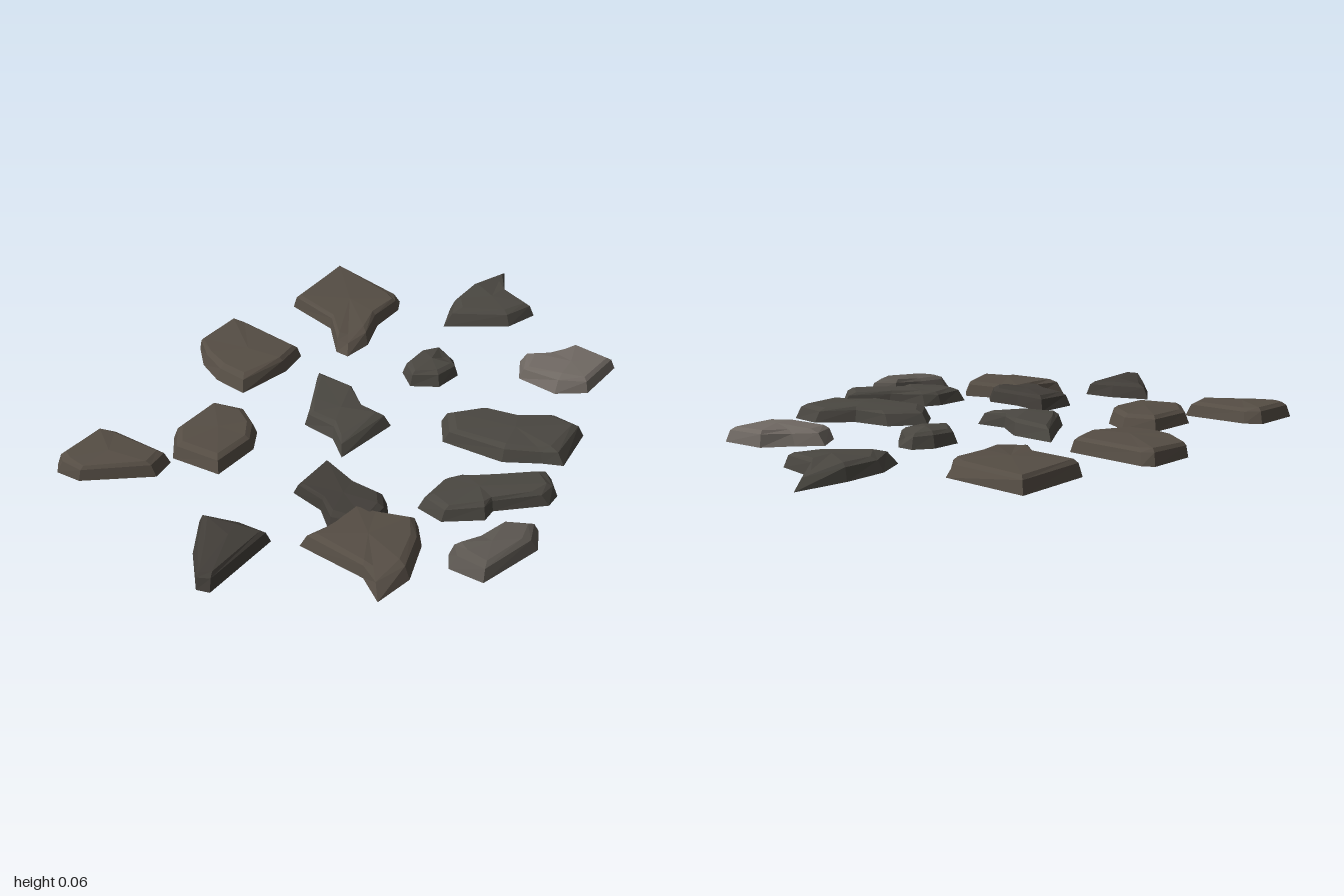
import * as THREE from 'three';

const BROWN = 0x554d44, GREY = 0x4a4741, DARK = 0x413d38, PALE = 0x706963;

// One flat stone, an open-bottomed shell: a ground outline, a steep wall up to a
// shoulder, a bevel to a smaller rim, and a low crown.
// Outline points are [x, z, bevel width, rim height]; the last two are optional.
function stone(name, color, [cx, cz], outline, bevel = 0.035, crown = 0.055) {
  const pts = outline.map(([x, z, b = bevel, h], i) => {
    const inset = (b * (i % 2 ? 1.1 : 0.9)) / Math.hypot(x - cx, z - cz);
    const y = h ?? 0.049 + 0.003 * Math.sin(i * 2.3 + cx * 9);
    const ring = (part, height) => {
      const k = 1 - part * Math.min(inset, 0.75);
      return [cx + (x - cx) * k, height, cz + (z - cz) * k];
    };
    return [ring(0, 0), ring(0.45, y * 0.78), ring(1, y)];
  });
  if (THREE.ShapeUtils.area(outline.map(([x, y]) => ({ x, y }))) > 0) pts.reverse();

  const pos = [];
  pts.forEach((a, i) => {
    const b = pts[(i + 1) % pts.length];
    for (let j = 0; j < 2; j++) { // wall, then bevel
      pos.push(...a[j], ...b[j], ...b[j + 1], ...a[j], ...b[j + 1], ...a[j + 1]);
    }
    pos.push(cx, crown, cz, ...a[2], ...b[2]); // crown
  });
  const geo = new THREE.BufferGeometry();
  geo.setAttribute('position', new THREE.Float32BufferAttribute(pos, 3));
  geo.computeVertexNormals();
  const material = new THREE.MeshStandardMaterial({ color, flatShading: true, side: THREE.DoubleSide });
  const mesh = new THREE.Mesh(geo, material);
  mesh.name = name;
  return mesh;
}

export function createModel() {
  const group = new THREE.Group();
  group.name = 'steppingStones';

  // Back row
  group.add(stone('backPointedStone', GREY, [-0.1, -0.76], [
    [-0.205, -1, 0.13, 0.036], [-0.1, -0.845, 0.012], [0.045, -0.815, 0.04], [0.015, -0.7],
    [-0.17, -0.56, 0.09], [-0.22, -0.67], [-0.225, -0.82, 0.035]]));
  group.add(stone('backLeftStone', BROWN, [-0.5, -0.44], [
    [-0.695, -0.62, 0.03], [-0.395, -0.6, 0.045], [-0.365, -0.55, 0.025], [-0.36, -0.42, 0.022],
    [-0.31, -0.3, 0.06], [-0.32, -0.2, 0.08, 0.036], [-0.37, -0.2, 0.07, 0.04],
    [-0.48, -0.305, 0.02], [-0.68, -0.34, 0.03]], 0.03, 0.053));
  group.add(stone('backRightStone', PALE, [0.35, -0.57], [
    [0.17, -0.535, 0.06], [0.235, -0.6], [0.3, -0.685, 0.02], [0.45, -0.695, 0.03],
    [0.455, -0.51, 0.03], [0.37, -0.44, 0.05], [0.225, -0.445]]));
  group.add(stone('smallStone', GREY, [-0.035, -0.3], [
    [-0.07, -0.4], [-0.015, -0.4, 0.05, 0.035], [0.05, -0.335], [0.04, -0.24],
    [-0.04, -0.185], [-0.11, -0.235], [-0.11, -0.34]], 0.028));

  // Middle rows
  group.add(stone('rightWaistedStone', GREY, [0.41, -0.14], [
    [0.16, -0.085, 0.05], [0.24, -0.19], [0.37, -0.21, 0.012], [0.465, -0.305],
    [0.57, -0.295, 0.045], [0.605, -0.12, 0.05], [0.545, -0.09], [0.44, -0.02, 0.03],
    [0.23, 0.005, 0.05]]));
  group.add(stone('leftStone', BROWN, [-0.57, 0.03], [
    [-0.76, -0.1, 0.025], [-0.725, -0.12], [-0.45, -0.105, 0.03], [-0.43, 0, 0.02],
    [-0.46, 0.185, 0.06], [-0.58, 0.18], [-0.68, 0.14], [-0.76, 0.07, 0.015]]));
  group.add(stone('centreStone', GREY, [-0.1, 0.11], [
    [-0.32, -0.035, 0.06, 0.045], [-0.165, -0.03, 0.025], [-0.06, 0.045, 0.01],
    [0.045, 0.035, 0.045], [0.025, 0.265, 0.08, 0.036], [-0.06, 0.205], [-0.18, 0.2],
    [-0.225, 0.12, 0.02]]));
  group.add(stone('rightBentStone', GREY, [0.49, 0.18], [
    [0.365, 0.2, 0.025], [0.39, 0.145], [0.5, 0.08, 0.015], [0.61, -0.04, 0.045],
    [0.67, 0.02, 0.04], [0.675, 0.075, 0.05], [0.555, 0.2, 0.012], [0.56, 0.25, 0.025],
    [0.46, 0.335], [0.365, 0.325, 0.045]]));
  group.add(stone('farRightStone', 0x5c5751, [0.665, 0.37], [
    [0.715, 0.195, 0.05], [0.76, 0.27, 0.045], [0.715, 0.485, 0.05], [0.6, 0.495, 0.055],
    [0.565, 0.445, 0.04], [0.605, 0.36, 0.015], [0.64, 0.25, 0.025]]));

  // Front rows
  group.add(stone('frontLeftStone', BROWN, [-0.345, 0.43], [
    [-0.47, 0.315], [-0.365, 0.275], [-0.275, 0.325], [-0.225, 0.4, 0.025],
    [-0.225, 0.565, 0.05], [-0.395, 0.59], [-0.47, 0.505]]));
  group.add(stone('frontLeftCornerStone', BROWN, [-0.53, 0.73], [
    [-0.66, 0.65], [-0.61, 0.62], [-0.385, 0.61, 0.045], [-0.37, 0.69],
    [-0.545, 0.85, 0.025], [-0.63, 0.86, 0.04], [-0.66, 0.83, 0.035]], 0.03));
  group.add(stone('frontWedgeStone', DARK, [0.04, 0.81], [
    [-0.115, 0.77, 0.055], [0.01, 0.72], [0.115, 0.71, 0.035], [0.125, 0.985, 0.03],
    [0.085, 1, 0.025], [-0.03, 0.89, 0.035]]));
  group.add(stone('overlappedStone', DARK, [0.18, 0.45], [
    [0.02, 0.34], [0.16, 0.37, 0.015], [0.28, 0.365], [0.33, 0.42], [0.33, 0.52],
    [0.22, 0.57], [0.14, 0.51, 0.015], [0.02, 0.495]], 0.035, 0.05));
  group.add(stone('frontLargeStone', BROWN, [0.36, 0.56], [
    [0.23, 0.46, 0.03], [0.3, 0.44, 0.02], [0.42, 0.395], [0.48, 0.46, 0.03],
    [0.54, 0.6, 0.05], [0.525, 0.73, 0.1, 0.04], [0.43, 0.675, 0.03],
    [0.195, 0.675, 0.045], [0.235, 0.57, 0.015]], 0.035, 0.056));

  return group;
}
